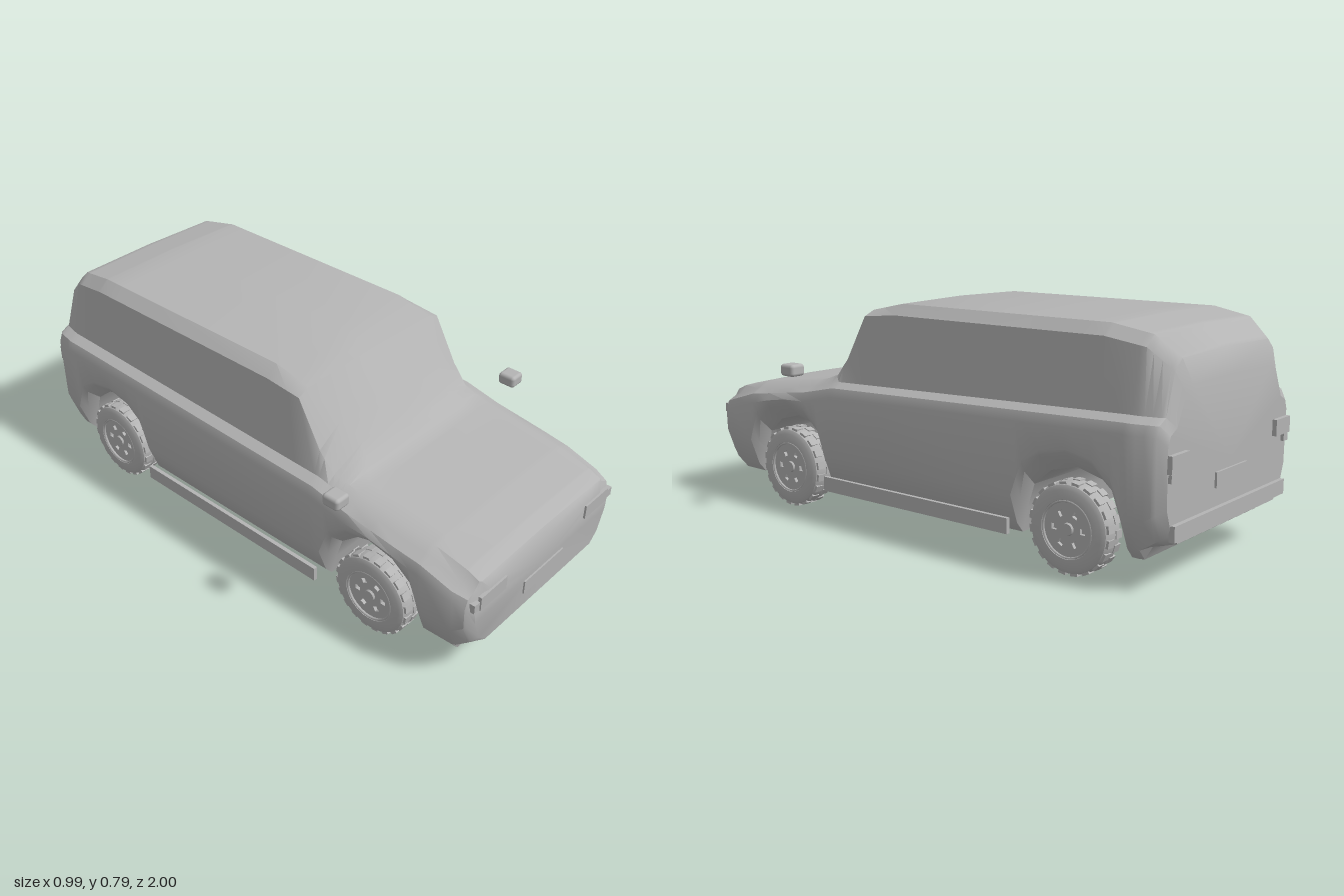
import * as THREE from 'three';
import { toCreasedNormals } from 'three/addons/utils/BufferGeometryUtils.js';
import { RoundedBoxGeometry } from 'three/addons/geometries/RoundedBoxGeometry.js';

const grey = new THREE.MeshStandardMaterial({ color: 0xb4b4b4 });
grey.name = 'plain grey';

const AXLES = [0.605, -0.655];
const WHEEL_Y = 0.152;

// wheel arch: offset along z, height of tunnel roof, height of outer lip
const halfArch = [[0.205, 0.095, 0.13], [0.185, 0.18, 0.22], [0.16, 0.26, 0.31], [0.095, 0.315, 0.375]];
const arch = [...halfArch, [0, 0.34, 0.4], ...halfArch.map(([d, b, l]) => [-d, b, l]).reverse()];
const arches = (col) => AXLES.flatMap((z) => arch.map((a) => [z + a[0], a[col]]));

// body rules: [z, value] running from nose to tail
const bottom = [[0.99, 0.145], [0.935, 0.143], [0.922, 0.095], ...arches(1), [-0.9, 0.095], [-0.925, 0.14], [-0.985, 0.15]];
const lip = [[0.99, 0.18], [0.922, 0.13], ...arches(2), [-0.9, 0.13], [-0.985, 0.185]];
const width = [[0.99, 0.375], [0.97, 0.405], [0.92, 0.42], [0.7, 0.427], [0.2, 0.43], [-0.88, 0.43], [-0.95, 0.415], [-0.985, 0.385]];
const belt = [[0.99, 0.345], [0.97, 0.375], [0.8, 0.425], [0.5, 0.465], [0.36, 0.495], [0.2, 0.5], [-0.85, 0.53], [-0.96, 0.53], [-0.985, 0.5]];
const top = [[0.99, 0.378], [0.975, 0.405], [0.93, 0.425], [0.8, 0.452], [0.5, 0.49], [0.46, 0.503], [0.42, 0.545], [0.25, 0.76], [0.11, 0.79], [-0.74, 0.79], [-0.88, 0.765], [-0.96, 0.7], [-0.985, 0.62]];
const cornerY = [[0.99, 0.367], [0.975, 0.395], [0.93, 0.415], [0.8, 0.443], [0.5, 0.483], [0.4, 0.507], [0.34, 0.575], [0.25, 0.735], [0.11, 0.748], [-0.74, 0.748], [-0.88, 0.725], [-0.96, 0.66], [-0.985, 0.595]];
const cornerX = [[0.99, 0.31], [0.97, 0.34], [0.46, 0.345], [0.36, 0.355], [0.25, 0.355], [-0.74, 0.355], [-0.88, 0.342], [-0.96, 0.315], [-0.985, 0.29]];
const inset = [[0.99, 0.05], [0.5, 0.06], [0.4, 0.14], [0.34, 0.1], [0.25, 0.045], [-0.985, 0.04]];

function at(table, z) {
  for (let i = 1; i < table.length; i++) {
    const [z0, v0] = table[i - 1], [z1, v1] = table[i];
    if (z >= z1) return v0 + (v1 - v0) * Math.min(1, Math.max(0, (z0 - z) / (z0 - z1)));
  }
  return table[table.length - 1][1];
}

// closed cross-section, counter-clockwise seen from the front
function section(z) {
  const b = at(bottom, z), l = at(lip, z), w = at(width, z), s = at(belt, z);
  const t = at(top, z), cx = at(cornerX, z), cy = at(cornerY, z);
  const k = Math.min(1, (b - 0.095) / 0.245);
  const y3 = l + 0.1 + (0.005 - 0.1) * k;
  const y4 = Math.max(s - 0.05, y3 + 0.005);
  const half = [
    [w - 0.07, b], [w - 0.04 + 0.035 * k, l], [w - 0.003, y3], [w, y4],
    [w - 0.013, s - 0.018], [w - 0.048, s], [cx, cy], [cx - at(inset, z), t - 0.006],
  ];
  return [[0, b], ...half, [0, t], ...half.map(([x, y]) => [-x, y]).reverse()];
}

function bodyGeometry() {
  const all = [bottom, lip, width, belt, top, cornerY, cornerX, inset].flat().map((p) => p[0]);
  const stations = [...new Set(all.map((z) => Math.round(z * 1000) / 1000))].sort((a, b) => b - a);
  const pos = [], index = [];
  let n = 0;
  for (const z of stations) {
    const loop = section(z);
    n = loop.length;
    for (const [x, y] of loop) pos.push(x, y, z);
  }
  for (let i = 0; i < stations.length - 1; i++) {
    for (let j = 0; j < n; j++) {
      const a = i * n + j, b = i * n + (j + 1) % n;
      index.push(a, a + n, b, b, a + n, b + n);
    }
  }
  // flat nose and tail
  const last = (stations.length - 1) * n, c = pos.length / 3;
  pos.push(0, 0.27, stations[0], 0, 0.35, stations[stations.length - 1]);
  for (let j = 0; j < n; j++) {
    const k = (j + 1) % n;
    index.push(c, j, k, c + 1, last + k, last + j);
  }
  const g = new THREE.BufferGeometry();
  g.setAttribute('position', new THREE.Float32BufferAttribute(pos, 3));
  g.setIndex(index);
  return toCreasedNormals(g, 0.6);
}

function add(parent, name, geometry, x = 0, y = 0, z = 0) {
  const mesh = new THREE.Mesh(geometry, grey);
  mesh.name = name;
  mesh.position.set(x, y, z);
  parent.add(mesh);
  return mesh;
}

const box = (w, h, d) => new THREE.BoxGeometry(w, h, d);

// rim disc with a ring of square openings
function rimGeometry() {
  const shape = new THREE.Shape().absarc(0, 0, 0.09, 0, Math.PI * 2);
  for (let i = 0; i < 6; i++) {
    const a = (i / 6) * Math.PI * 2, hole = new THREE.Path();
    for (let q = 0; q < 4; q++) {
      const b = a + Math.PI / 4 + (q * Math.PI) / 2;
      const x = Math.cos(a) * 0.053 + Math.cos(b) * 0.013, y = Math.sin(a) * 0.053 + Math.sin(b) * 0.013;
      if (q) hole.lineTo(x, y); else hole.moveTo(x, y);
    }
    hole.closePath();
    shape.holes.push(hole);
  }
  return new THREE.ExtrudeGeometry(shape, { depth: 0.012, bevelEnabled: false, curveSegments: 20 });
}

// wheel with its outer face towards +z, turned outwards when placed
function makeWheel() {
  const wheel = new THREE.Group();
  const profile = [[0.088, -0.046], [0.125, -0.046], [0.139, -0.038], [0.146, -0.022], [0.146, 0.022], [0.139, 0.038], [0.125, 0.046], [0.094, 0.046], [0.088, 0.034], [0.088, -0.046]];
  const tyre = new THREE.LatheGeometry(profile.map(([r, y]) => new THREE.Vector2(r, y)), 36);
  add(wheel, 'tyre', toCreasedNormals(tyre, 0.6)).rotation.x = Math.PI / 2;
  add(wheel, 'rim', rimGeometry(), 0, 0, 0.024);
  add(wheel, 'rimBack', new THREE.CylinderGeometry(0.089, 0.089, 0.01, 36)).rotation.x = Math.PI / 2;
  add(wheel, 'rimRing', new THREE.TorusGeometry(0.09, 0.004, 6, 36), 0, 0, 0.042);
  add(wheel, 'hub', new THREE.CylinderGeometry(0.018, 0.022, 0.01, 16), 0, 0, 0.038).rotation.x = Math.PI / 2;
  for (let i = 0; i < 20; i++) {
    for (const s of [-1, 1]) {
      const a = ((i + (s > 0 ? 0.5 : 0)) / 20) * Math.PI * 2;
      const block = add(wheel, 'treadBlock', box(0.014, 0.026, 0.03), Math.cos(a) * 0.1415, Math.sin(a) * 0.1415, s * 0.02);
      block.rotation.z = a;
    }
  }
  return wheel;
}

export function createModel() {
  const car = new THREE.Group();
  car.name = 'car';
  add(car, 'body', bodyGeometry());

  // number plates and rear bumper
  add(car, 'frontPlate', box(0.22, 0.05, 0.009), 0, 0.228, 0.991);
  add(car, 'rearPlate', box(0.2, 0.05, 0.009), 0, 0.3, -0.988);
  add(car, 'rearBumper', box(0.72, 0.05, 0.02), 0, 0.19, -0.99);

  for (const s of [1, -1]) {
    const side = s > 0 ? 'left' : 'right';
    add(car, side + 'Headlight', box(0.134, 0.051, 0.012), s * 0.292, 0.333, 0.991);
    add(car, side + 'FrontMarker', box(0.026, 0.032, 0.035), s * 0.376, 0.329, 0.977);
    add(car, side + 'TailLight', box(0.1, 0.055, 0.03), s * 0.335, 0.4, -0.985);
    add(car, side + 'RearMarker', box(0.03, 0.025, 0.025), s * 0.365, 0.358, -0.984);
    add(car, side + 'Mirror', new RoundedBoxGeometry(0.062, 0.044, 0.066, 2, 0.012), s * 0.466, 0.535, 0.508);
    add(car, side + 'SideStep', box(0.014, 0.052, 0.835), s * 0.43, 0.129, -0.027);
    for (const z of AXLES) {
      const wheel = makeWheel();
      wheel.name = side + (z > 0 ? 'Front' : 'Rear') + 'Wheel';
      wheel.position.set(s * 0.366, WHEEL_Y, z);
      wheel.rotation.y = (s * Math.PI) / 2;
      car.add(wheel);
    }
  }
  return car;
}
